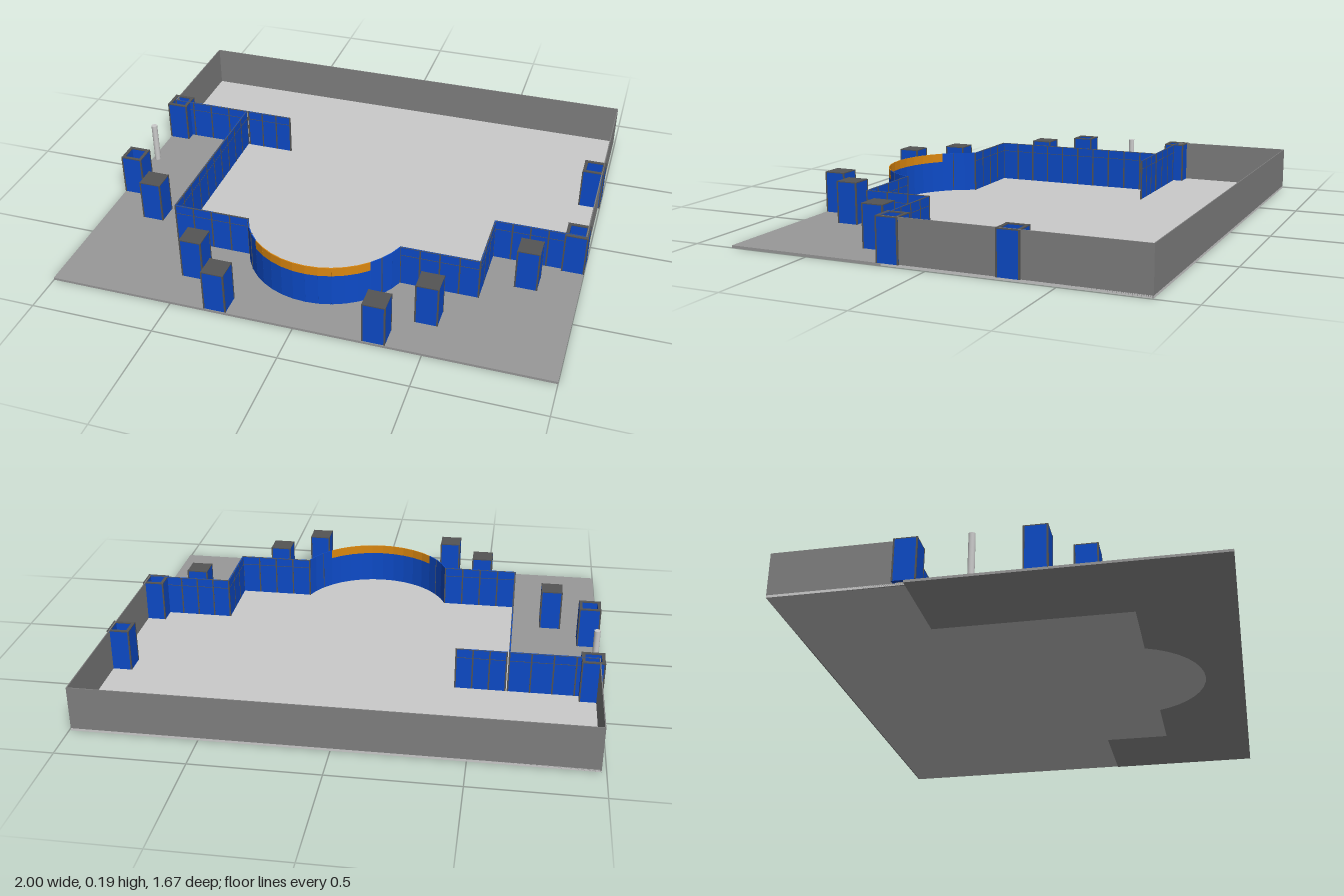
import * as THREE from 'three';

const FLOOR = 0.01, TOP = 0.185, RAIL = 0.147;
const mat = (color) => new THREE.MeshStandardMaterial({ color, side: THREE.DoubleSide });

export function createModel() {
  const root = new THREE.Group();
  const light = mat(0xcccccc), paving = mat(0x999999), wallGrey = mat(0x808080);
  const trim = mat(0x555555), blue = mat(0x0d4bc8), orange = mat(0xdc8810);

  const add = (name, geometry, material, parent = root) => {
    const mesh = new THREE.Mesh(geometry, material);
    mesh.name = name;
    parent.add(mesh);
    return mesh;
  };

  // Outline in (x, z), extruded upwards between two heights
  const prism = (points, y0, y1, hole) => {
    const shape = new THREE.Shape(points.map(([x, z]) => new THREE.Vector2(x, z)));
    if (hole) shape.holes.push(new THREE.Path(hole.map(([x, z]) => new THREE.Vector2(x, z))));
    return new THREE.ExtrudeGeometry(shape, { depth: y1 - y0, bevelEnabled: false })
      .rotateX(Math.PI / 2).translate(0, y1, 0);
  };
  const square = (r) => [[-r, -r], [r, -r], [r, r], [-r, r]];

  // Upright slab from a to b (x, z)
  const slab = (name, a, b, y0, y1, thick, material, parent) => {
    const dx = b[0] - a[0], dz = b[1] - a[1];
    const mesh = add(name, new THREE.BoxGeometry(Math.hypot(dx, dz), y1 - y0, thick), material, parent);
    mesh.position.set((a[0] + b[0]) / 2, (y0 + y1) / 2, (a[1] + b[1]) / 2);
    mesh.rotation.y = -Math.atan2(dz, dx);
    return mesh;
  };
  const post = (p, parent) => {
    add('panelPost', new THREE.BoxGeometry(0.006, TOP - FLOOR, 0.006), trim, parent)
      .position.set(p[0], (TOP + FLOOR) / 2, p[1]);
  };

  // Straight run of blue panels with posts and a thin rail
  const panelWall = (name, a, b) => {
    const wall = new THREE.Group();
    wall.name = name;
    root.add(wall);
    slab('panels', a, b, FLOOR, TOP, 0.004, blue, wall);
    slab('rail', a, b, RAIL - 0.001, RAIL + 0.001, 0.006, trim, wall);
    slab('topEdge', a, b, TOP - 0.002, TOP, 0.006, trim, wall);
    const n = Math.max(1, Math.round(Math.hypot(b[0] - a[0], b[1] - a[1]) / 0.08));
    for (let i = 0; i <= n; i++) {
      post([a[0] + (b[0] - a[0]) * i / n, a[1] + (b[1] - a[1]) * i / n], wall);
    }
  };

  // Curved bay outline, from +x round to -x
  const R = 0.3355, CZ = 0.3445, HALF = 1.22, SEG = 16;
  const arc = [];
  for (let i = 0; i <= SEG; i++) {
    const t = HALF - 2 * HALF * i / SEG;
    arc.push([R * Math.sin(t), CZ + R * Math.cos(t)]);
  }

  // Floors: pale hall and darker paving sharing one boundary
  const edge = [[0.993, 0.185], [0.63, 0.185], [0.63, 0.46], ...arc,
    [-0.63, 0.46], [-0.63, -0.32], [-0.982, -0.32]];
  add('hallFloor', prism([[-0.982, -0.84], [0.993, -0.84], ...edge], 0, FLOOR), light);
  add('paving', prism([...edge, [-1, -0.32], [-1, 0.835], [1, 0.835], [1, 0.185]], 0, FLOOR), paving);

  // Plain outer walls
  slab('backWall', [-0.982, -0.838], [0.993, -0.838], 0, TOP, 0.004, wallGrey);
  slab('leftWall', [0.991, -0.84], [0.991, 0.185], 0, TOP, 0.004, wallGrey);
  slab('rightWall', [-0.98, -0.84], [-0.98, -0.32], 0, TOP, 0.004, wallGrey);

  // Blue panelled walls
  panelWall('rightEntryWall', [-0.98, -0.32], [-0.63, -0.32]);
  panelWall('innerScreen', [-0.62, -0.32], [-0.42, -0.32]);
  panelWall('rightInnerWall', [-0.63, -0.32], [-0.63, 0.46]);
  panelWall('rightFrontWall', [-0.63, 0.46], [-0.315, 0.46]);
  panelWall('leftFrontWall', [0.315, 0.46], [0.63, 0.46]);
  panelWall('leftInnerWall', [0.63, 0.46], [0.63, 0.185]);
  panelWall('leftEntryWall', [0.63, 0.185], [0.99, 0.185]);

  // Curved bay with an orange fascia over its middle
  const bay = new THREE.Group();
  bay.name = 'curvedBay';
  root.add(bay);
  for (let i = 0; i < SEG; i++) {
    const a = arc[i], b = arc[i + 1], middle = i >= 3 && i < SEG - 3;
    slab('bayPanel', a, b, FLOOR, RAIL, 0.004, blue, bay);
    slab(middle ? 'fascia' : 'bayTopPanel', a, b, RAIL, TOP, 0.004, middle ? orange : blue, bay);
    if (!middle && i % 2 === 0) post(a, bay);
  }
  post(arc[SEG], bay);

  // Pillars: open tubes at the sides, capped ones in front
  const pillar = (name, x, z, open) => {
    const group = new THREE.Group();
    group.name = name;
    group.position.set(x, 0, z);
    root.add(group);
    const r = 0.045, hole = open ? square(0.032) : undefined;
    add('shaft', prism(square(r), FLOOR, TOP - 0.004, hole), blue, group);
    add('cap', prism(square(r), TOP - 0.004, TOP, hole), trim, group);
    for (const [cx, cz] of square(r - 0.002)) post([cx, cz], group);
  };
  for (const s of [-1, 1]) {
    pillar('sidePillar', s * 0.955, -0.32, true);
    pillar('sidePillar', s * 0.955, 0.155, true);
    pillar('frontPillar', s * 0.795, 0.31, false);
    pillar('frontPillar', s * 0.475, 0.627, false);
    pillar('frontPillar', s * 0.315, 0.787, false);
  }

  // Slim round pole by the entrance
  add('pole', new THREE.CylinderGeometry(0.013, 0.013, TOP - FLOOR, 16), light)
    .position.set(-0.978, (TOP + FLOOR) / 2, -0.08);

  return root;
}
